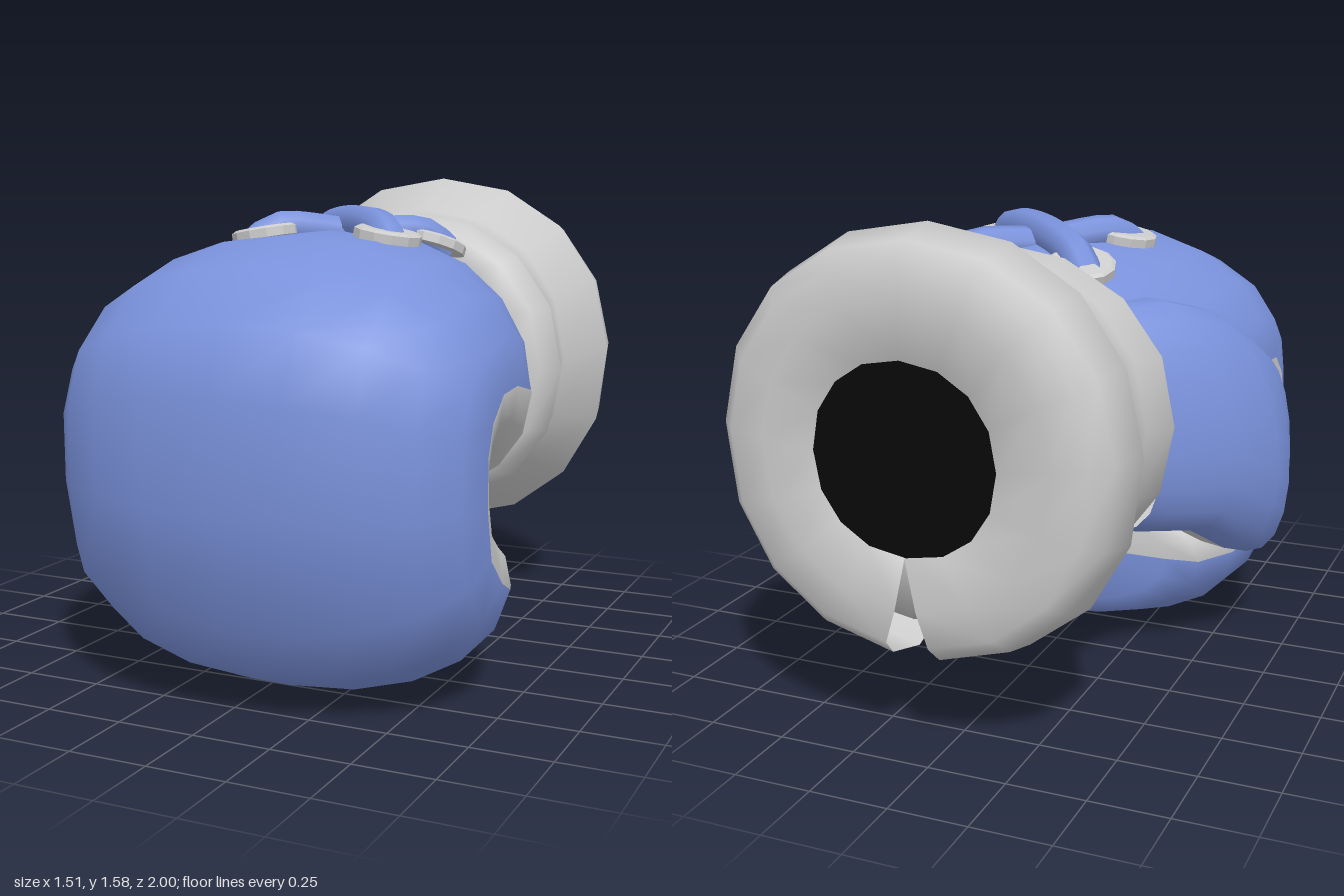
import * as THREE from 'three';

const grey = new THREE.MeshStandardMaterial({ color: 0xcccccc, side: THREE.DoubleSide });
const blue = new THREE.MeshStandardMaterial({ color: 0x7a92dc, side: THREE.DoubleSide });
const black = new THREE.MeshStandardMaterial({ color: 0x080808 });
const CX = 0.06, CY = 0.935; // centre line of the glove and cuff
const AROUND = 20;

const V = (x, y, z) => new THREE.Vector3(x, y, z);
// Slightly squared sine or cosine
const soft = (t) => Math.sign(t) * Math.pow(Math.abs(t), 2 / 2.12);

function add(parent, name, geometry, material) {
  const mesh = new THREE.Mesh(geometry, material);
  mesh.name = name;
  parent.add(mesh);
  return mesh;
}

// Lofts rounded sections: centre c, half width u, outer reach v, inner reach w.
// The outer half is leather (blue), the inner half lining (grey).
// From section leatherEnd on, everything is lining.
function twoToneLoft(parent, name, sections, leatherEnd) {
  const pos = [], leather = [], lining = [];
  for (const { c, u, v, w } of sections) {
    for (let j = 0; j < AROUND; j++) {
      const a = (j / AROUND) * Math.PI * 2;
      const s = soft(Math.sin(a));
      const p = c.clone().addScaledVector(u, soft(Math.cos(a))).addScaledVector(s > 0 ? v : w, Math.abs(s));
      pos.push(p.x, p.y, p.z);
    }
  }
  const last = sections.length - 1;
  pos.push(...sections[last].c.toArray());
  for (let i = 0; i <= last; i++) {
    for (let j = 0; j < AROUND; j++) {
      const k = (j + 1) % AROUND, a = i * AROUND;
      const list = j < AROUND / 2 && i < leatherEnd ? leather : lining;
      if (i < last) list.push(a + j, a + k, a + AROUND + k, a + j, a + AROUND + k, a + AROUND + j);
      else list.push(a + j, a + k, a + AROUND);
    }
  }
  // normals are shared, so the colour border stays smooth
  const whole = new THREE.BufferGeometry();
  whole.setAttribute('position', new THREE.Float32BufferAttribute(pos, 3));
  whole.setIndex([...leather, ...lining]);
  whole.computeVertexNormals();
  const piece = (index) => {
    const g = whole.clone();
    g.setIndex(index);
    return g;
  };
  add(parent, name + 'Leather', piece(leather), blue);
  add(parent, name + 'Lining', piece(lining), grey);
}

// Lathe turned so that its axis runs along z; profile points are [radius, z, widening in x]
function latheZ(profile, segments, slit = () => 0) {
  const g = new THREE.LatheGeometry(profile.map(([r, z]) => new THREE.Vector2(r, z)), segments);
  const p = g.attributes.position;
  for (let s = 0; s <= segments; s++) {
    profile.forEach(([r, z, wide = 1], j) => {
      const a = Math.PI + (s / segments - 0.5) * 2 * (Math.PI - slit(r, z));
      p.setXYZ(s * profile.length + j, r * wide * soft(Math.sin(a)) + CX, -r * soft(Math.cos(a)) + CY, z);
    });
  }
  g.computeVertexNormals();
  return g;
}

export function createModel() {
  const glove = new THREE.Group();
  glove.name = 'boxingGlove';

  // Hand: sections curl from the wrist over the knuckles to the finger tips
  // [outer z, outer y, inner z, inner y, half width]
  const hand = [
    [-0.34, 1.34, -0.34, 0.54, 0.42],
    [-0.26, 1.36, -0.27, 0.52, 0.49],
    [-0.08, 1.4, -0.08, 0.49, 0.59],
    [0.2, 1.42, 0.1, 0.56, 0.66],
    [0.5, 1.41, 0.24, 0.64, 0.685],
    [0.74, 1.33, 0.3, 0.69, 0.69],
    [0.92, 1.18, 0.315, 0.68, 0.69],
    [1.0, 0.98, 0.32, 0.67, 0.69],
    [1.0, 0.65, 0.315, 0.66, 0.69],
    [0.93, 0.3, 0.3, 0.655, 0.69],
    [0.74, 0.1, 0.27, 0.65, 0.69],
    [0.5, 0.003, 0.22, 0.63, 0.67],
    [0.3, 0.003, 0.15, 0.59, 0.63],
    [0.1, 0.07, 0.06, 0.54, 0.55],
    [0.03, 0.14, 0.025, 0.51, 0.45],
  ].map(([oz, oy, iz, iy, width]) => {
    const outer = V(0, oy, oz), inner = V(0, iy, iz);
    const c = outer.clone().lerp(inner, 0.56);
    return { c: c.clone().setX(CX), u: V(width, 0, 0), v: outer.sub(c), w: inner.sub(c) };
  });
  twoToneLoft(glove, 'hand', hand, hand.length);

  // Thumb: lobe leaning into the right side of the hand
  // [x, y, z, lean, half height, half thickness]
  const thumb = [
    [-0.26, 0.9, -0.32, 0.08, 0.34, 0.2],
    [-0.31, 0.9, -0.25, 0.08, 0.36, 0.21],
    [-0.43, 0.89, -0.1, 0.08, 0.38, 0.215],
    [-0.51, 0.81, 0.07, 0.07, 0.41, 0.235],
    [-0.57, 0.72, 0.25, 0.04, 0.39, 0.175],
    [-0.61, 0.67, 0.38, 0.01, 0.34, 0.11],
    [-0.63, 0.66, 0.47, 0, 0.27, 0.05],
  ].map(([x, y, z, lean, h, t]) => ({
    c: V(x, y, z), u: V(lean, h, 0), v: V(-t, t * lean, 0), w: V(t, -t * lean, 0),
  }));
  twoToneLoft(glove, 'thumb', thumb, 5);

  // Padded cuff with a slit underneath that widens towards the back
  const cuff = [
    [0.29, -0.93], [0.29, -0.995], [0.45, -1.0], [0.56, -0.995], [0.615, -0.94], [0.647, -0.8],
    [0.535, -0.63], [0.527, -0.5, 1.05], [0.53, -0.38, 1.13], [0.5, -0.3, 1.1], [0.46, -0.27], [0.36, -0.275],
  ];
  const slit = (r, z) => 0.12 * THREE.MathUtils.clamp((-0.35 - z) / 0.65, 0, 1)
    * THREE.MathUtils.clamp((r - 0.29) / 0.3, 0, 1);
  add(glove, 'cuff', latheZ(cuff, 16, slit), grey);
  add(glove, 'cuffLining', latheZ([[0.3, -0.96], [0.49, -0.95], [0.48, -0.36], [0.44, -0.28]], 16), grey);

  // Dark hand opening
  const opening = add(glove, 'handOpening', new THREE.CircleGeometry(0.295, 16).rotateY(Math.PI), black);
  opening.position.set(CX, CY, -0.985);

  // Flat eyelets on the back of the hand
  const washer = [[0.035, -0.018], [0.108, -0.018], [0.108, 0.01], [0.095, 0.018], [0.035, 0.018], [0.035, -0.018]];
  const ring = new THREE.LatheGeometry(washer.map(([r, y]) => new THREE.Vector2(r, y)), 12).toNonIndexed();
  ring.computeVertexNormals();
  for (const side of [-1, 1]) {
    for (const [z, y, tilt] of [[0.235, 1.41, 0], [-0.165, 1.37, -0.3]]) {
      const eyelet = add(glove, 'eyelet', ring, grey);
      eyelet.position.set(CX + side * 0.215, y, z);
      eyelet.rotation.set(tilt, 0, -side * 0.17);
    }
  }

  // Crossed laces, one arching over the other
  for (const [side, peak] of [[1, 1.44], [-1, 1.4]]) {
    const path = new THREE.CatmullRomCurve3([
      V(CX - side * 0.24, 1.34, -0.2), V(CX - side * 0.18, 1.4, -0.14),
      V(CX, peak, 0.03),
      V(CX + side * 0.19, 1.42, 0.21), V(CX + side * 0.24, 1.37, 0.26),
    ]);
    add(glove, 'lace', new THREE.TubeGeometry(path, 14, 0.058, 8), blue);
  }
  return glove;
}
